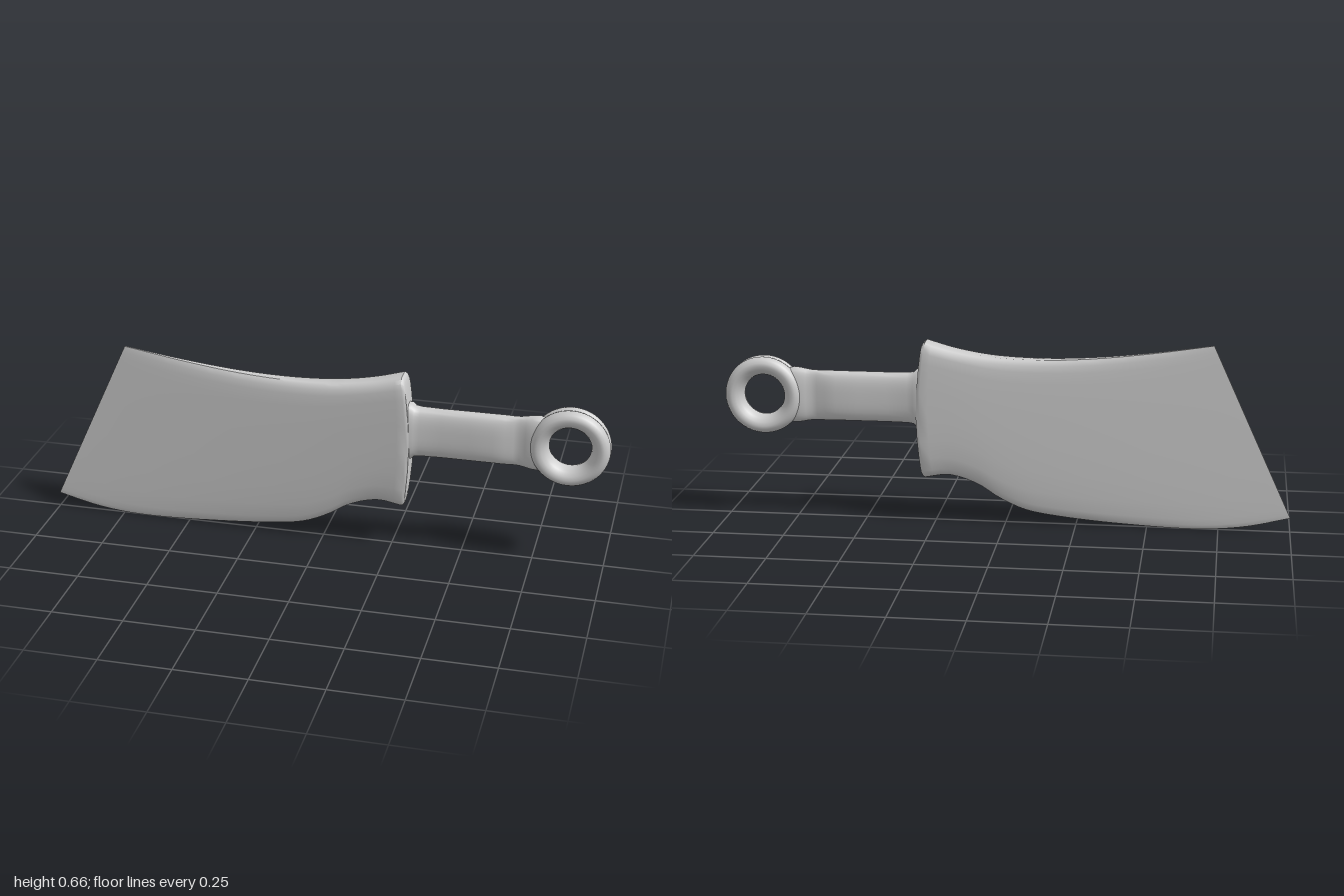
import * as THREE from 'three';
import { toCreasedNormals } from 'three/addons/utils/BufferGeometryUtils.js';

const material = new THREE.MeshStandardMaterial({ color: 0xcccccc });

// Skin over rings of [x, y, z]; each ring climbs the +z side, then descends the mirrored -z side.
function loft(rings, crease) {
  const n = rings[0].length, last = (rings.length - 1) * n, index = [];
  for (let s = 0; s < last; s += n) {
    for (let i = 0; i < n; i++) {
      const j = (i + 1) % n;
      index.push(s + i, s + n + i, s + j, s + j, s + n + i, s + n + j);
    }
  }
  for (let i = 0; i < n / 2 - 1; i++) {
    const f = i, f2 = i + 1, b = n - 1 - i, b2 = n - 2 - i;
    index.push(f, b2, b, f, f2, b2);
    index.push(last + b, last + b2, last + f, last + f, last + b2, last + f2);
  }
  const geometry = new THREE.BufferGeometry();
  geometry.setAttribute('position', new THREE.Float32BufferAttribute(rings.flat(2), 3));
  geometry.setIndex(index);
  return toCreasedNormals(geometry, crease);
}

const curve = (points) => new THREE.CatmullRomCurve3(points.map(([x, y]) => new THREE.Vector3(x, y, 0)));

function bladeGeometry() {
  const spine = curve([[-0.72, 0.663], [-0.5, 0.63], [-0.3, 0.608], [-0.12, 0.6], [0.05, 0.607], [0.18, 0.628], [0.28, 0.655]]);
  const edge = curve([[-1, 0.055], [-0.85, 0.02], [-0.7, 0.005], [-0.45, 0.012], [-0.2, 0.033], [-0.07, 0.055],
    [0.02, 0.095], [0.1, 0.145], [0.2, 0.175], [0.285, 0.163]]);
  // Share of the full thickness from the cutting edge (0) to the spine (1)
  const profile = [[0, 0.25], [0.008, 0.45], [0.025, 0.6], [0.06, 0.72], [0.15, 0.83], [0.28, 0.91], [0.45, 0.96],
    [0.65, 0.99], [0.85, 1], [0.925, 0.97], [0.965, 0.88], [0.99, 0.68], [1, 0.5]];

  const section = (u, inset = 0, push = 0) => {
    const low = edge.getPointAt(u), high = spine.getPointAt(u);
    const half = (0.004 + 0.051 * u) * (1 - inset * 4);
    const side = profile.map(([v, w]) => {
      const p = low.clone().lerp(high, inset + v * (1 - 2 * inset));
      const bulge = 0.018 * Math.sin(Math.PI * v) * u ** 10;
      return [p.x + bulge + push, p.y, half * w];
    });
    return [...side, ...side.map(([x, y, z]) => [x, y, -z]).reverse()];
  };

  const rings = [];
  for (let i = 0; i <= 44; i++) rings.push(section(i / 44));
  // Softened heel
  rings.push(section(1, 0.008, 0.007), section(1, 0.025, 0.012));
  return loft(rings, 0.75);
}

function gripGeometry() {
  // x, half height, half thickness
  const stations = [[0.29, 0.105, 0.046], [0.315, 0.103, 0.045], [0.325, 0.093, 0.041], [0.345, 0.09, 0.037], [0.42, 0.089, 0.033],
    [0.52, 0.089, 0.034], [0.6, 0.089, 0.034], [0.64, 0.09, 0.03], [0.67, 0.09, 0.022], [0.69, 0.091, 0.02],
    [0.71, 0.094, 0.026], [0.73, 0.098, 0.031], [0.755, 0.1, 0.032], [0.775, 0.094, 0.03]];
  const power = (t) => Math.sign(t) * Math.abs(t) ** 0.7;
  const count = 32;
  return loft(stations.map(([x, h, d]) => Array.from({ length: count }, (_, i) => {
    const a = ((i + 0.5) / count) * Math.PI * 2;
    return [x, 0.449 - h * power(Math.cos(a)), d * power(Math.sin(a))];
  })), 0.9);
}

function ringGeometry() {
  // Rounded section with a groove running round the rim
  const half = [[0.072, 0], [0.075, 0.015], [0.083, 0.03], [0.095, 0.041], [0.108, 0.046], [0.12, 0.044],
    [0.13, 0.036], [0.136, 0.025], [0.138, 0.015], [0.136, 0.006], [0.129, 0]];
  const loop = [...half.map(([r, z]) => [r, -z]), ...half.slice(0, -1).reverse().map(([r, z]) => [r, z])];
  const geometry = new THREE.LatheGeometry(loop.map(([r, z]) => new THREE.Vector2(r, z)), 56);
  return geometry.rotateX(Math.PI / 2);
}

export function createModel() {
  const model = new THREE.Group();
  model.name = 'cleaver';
  const add = (name, geometry) => {
    const mesh = new THREE.Mesh(geometry, material);
    mesh.name = name;
    model.add(mesh);
    return mesh;
  };
  add('blade', bladeGeometry());
  add('grip', gripGeometry());
  add('pommelRing', ringGeometry()).position.set(0.862, 0.447, 0);
  return model;
}
